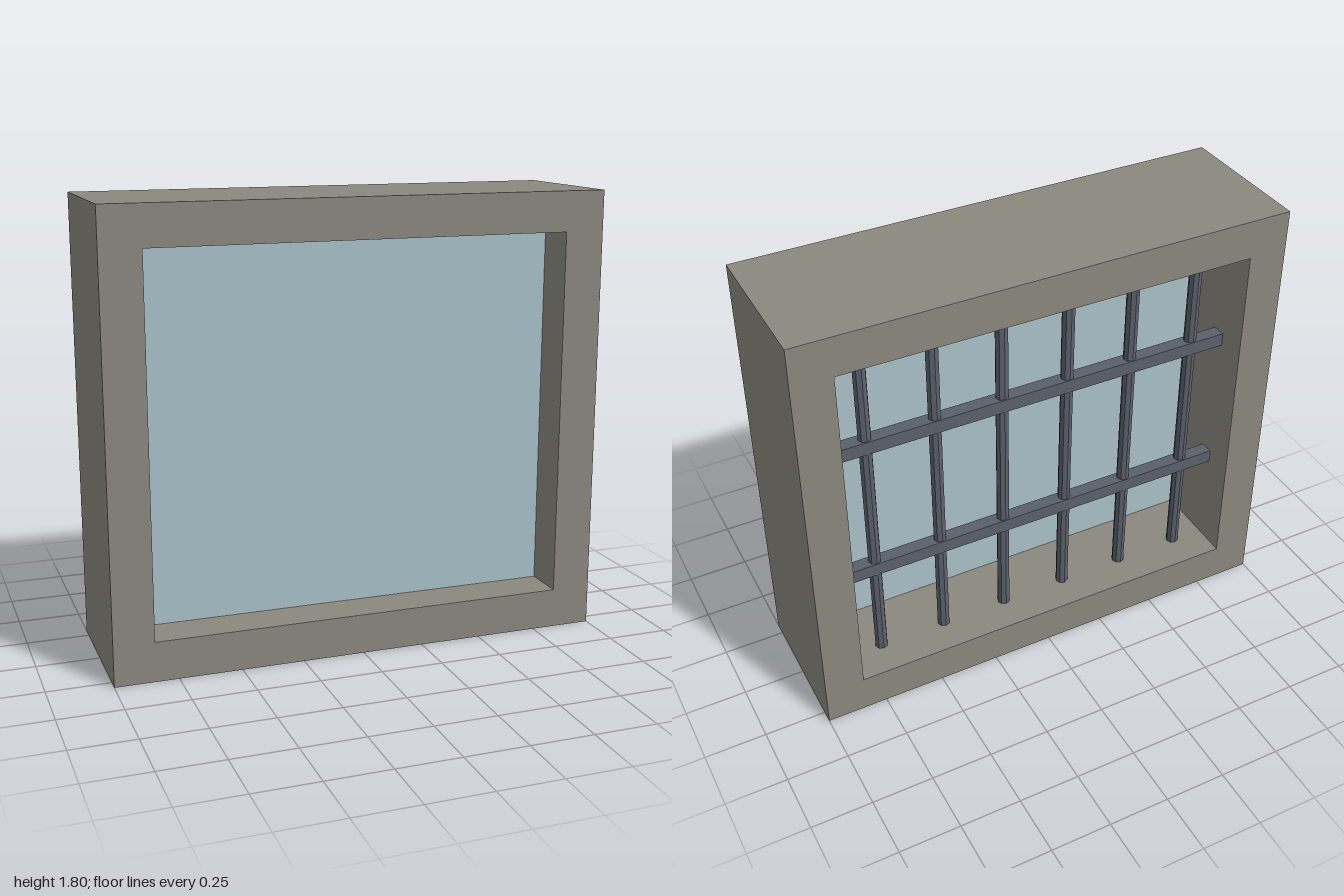
import * as THREE from 'three';

const mat = (name, color) => {
  const m = new THREE.MeshStandardMaterial({ color });
  m.name = name;
  return m;
};

export function createModel() {
  const stone = mat('stone', 0x8b877e);
  const glass = mat('glass', 0xa8c0c8);
  const iron = mat('iron', 0x5a606b);
  iron.flatShading = true;

  const W = 2, H = 1.8, D = 0.6, border = 0.16;
  const openW = W - 2 * border, openH = H - 2 * border, midY = H / 2;
  const barZ = -0.152;

  const group = new THREE.Group();
  group.name = 'barredWindow';
  const add = (name, geometry, material, x, y, z) => {
    const mesh = new THREE.Mesh(geometry, material);
    mesh.name = name;
    mesh.position.set(x, y, z);
    group.add(mesh);
  };

  // Deep stone surround with a rectangular opening
  const rect = (Type, w, h) => new Type([
    new THREE.Vector2(-w / 2, -h / 2), new THREE.Vector2(w / 2, -h / 2),
    new THREE.Vector2(w / 2, h / 2), new THREE.Vector2(-w / 2, h / 2),
  ]);
  const outline = rect(THREE.Shape, W, H);
  outline.holes.push(rect(THREE.Path, openW, openH));
  add('frame', new THREE.ExtrudeGeometry(outline, { depth: D, bevelEnabled: false }), stone, 0, midY, -D / 2);

  // Glass pane, set towards the front
  add('pane', new THREE.BoxGeometry(openW, openH, 0.05), glass, 0, midY, 0.1);

  // Upright bars behind the glass
  const count = 6, spacing = openW / count;
  const barGeometry = new THREE.CylinderGeometry(0.026, 0.026, openH, 8);
  for (let i = 0; i < count; i++) {
    add('uprightBar', barGeometry, iron, (i - (count - 1) / 2) * spacing, midY, barZ);
  }

  // Two square cross bars
  const crossGeometry = new THREE.BoxGeometry(openW, 0.056, 0.056);
  for (const y of [0.6, 1.2]) add('crossBar', crossGeometry, iron, 0, y, barZ);

  return group;
}
